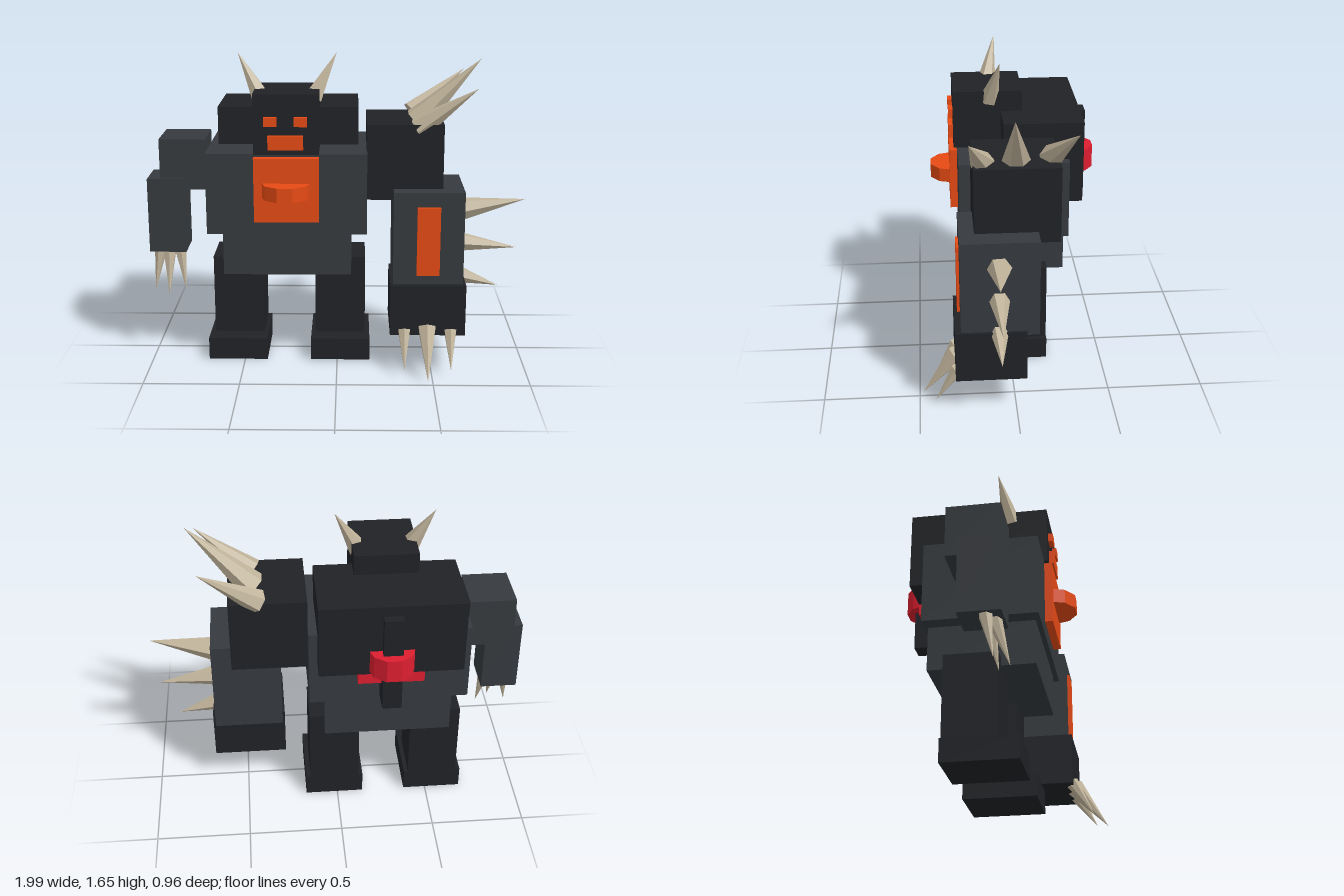
import * as THREE from 'three';

const material = (color) => new THREE.MeshStandardMaterial({ color, flatShading: true });

export function createModel() {
  const model = new THREE.Group();
  const black = material(0x202226);
  const grey = material(0x363a3e);
  const orange = material(0xe64a14);
  const red = material(0xdc1e30);
  const bone = material(0xc2b59c);
  const MID = -0.26; // centre line of the torso

  const add = (name, geometry, mat) => {
    const mesh = new THREE.Mesh(geometry, mat);
    mesh.name = name;
    model.add(mesh);
    return mesh;
  };

  // Box given by its extents on each axis
  const box = (name, mat, [x0, x1], [y0, y1], [z0, z1]) =>
    add(name, new THREE.BoxGeometry(x1 - x0, y1 - y0, z1 - z0), mat)
      .position.set((x0 + x1) / 2, (y0 + y1) / 2, (z0 + z1) / 2);

  // Six-sided spike running from its base centre to its tip
  const up = new THREE.Vector3(0, 1, 0);
  const spike = (name, base, tip, radius) => {
    const a = new THREE.Vector3(...base);
    const b = new THREE.Vector3(...tip);
    const mesh = add(name, new THREE.ConeGeometry(radius, a.distanceTo(b), 6), bone);
    mesh.position.copy(a).lerp(b, 0.5);
    mesh.quaternion.setFromUnitVectors(up, b.sub(a).normalize());
  };

  // Ten-sided upright drum with a flat facet towards the front and back
  const drum = (name, mat, radius, y0, y1, z) => {
    const mesh = add(name, new THREE.CylinderGeometry(radius, radius, y1 - y0, 10), mat);
    mesh.rotation.y = Math.PI / 10;
    mesh.position.set(MID, (y0 + y1) / 2, z);
  };

  // Torso
  box('pelvis', grey, [-0.595, 0.075], [0.51, 0.76], [-0.295, 0.24]);
  box('chest', grey, [-0.675, 0.155], [0.74, 1.165], [-0.312, 0.265]);
  box('upperBack', black, [-0.63, 0.11], [0.965, 1.365], [-0.388, 0.03]);
  box('chestPanel', orange, [-0.425, -0.092], [0.815, 1.15], [0.25, 0.305]);
  drum('chestKnob', orange, 0.128, 0.945, 1.02, 0.286);

  // Valve on the back
  box('backPost', black, [-0.31, -0.21], [0.775, 1.31], [-0.435, -0.3]);
  box('backPanel', red, [-0.43, -0.09], [0.905, 1.13], [-0.387, -0.3]);
  drum('backKnob', red, 0.12, 0.98, 1.105, -0.368);

  // Head and face
  box('head', black, [-0.425, -0.092], [1.165, 1.475], [-0.083, 0.282]);
  box('mouth', orange, [-0.35, -0.17], [1.193, 1.265], [0.27, 0.306]);

  // Mirrored eyes, horns, legs and feet
  for (const s of [-1, 1]) {
    const side = s < 0 ? 'right' : 'left';
    const span = (a, b) => (s < 0 ? [MID - b, MID - a] : [MID + a, MID + b]);
    box(side + 'Eye', orange, span(0.044, 0.11), [1.313, 1.36], [0.27, 0.306]);
    spike(side + 'Horn', [MID + s * 0.135, 1.425, 0.09], [MID + s * 0.257, 1.655, 0.04], 0.052);
    box(side + 'Leg', black, span(0.14, 0.41), [0.1, 0.552], [-0.2, 0.07]);
    box(side + 'Foot', black, span(0.118, 0.435), [0, 0.12], [-0.202, 0.175]);
  }

  // Small right arm
  box('rightUpperArm', grey, [-0.932, -0.69], [0.94, 1.21], [-0.145, 0.125]);
  box('rightForearm', grey, [-1, -0.805], [0.6, 1], [-0.07, 0.14]);
  spike('rightOuterClaw', [-0.953, 0.6, 0.06], [-0.985, 0.375, 0.1], 0.035);
  spike('rightMiddleClaw', [-0.902, 0.6, 0.09], [-0.9, 0.365, 0.165], 0.038);
  spike('rightInnerClaw', [-0.85, 0.6, 0.06], [-0.82, 0.375, 0.1], 0.035);

  // Massive left arm
  box('leftUpperArm', black, [0.153, 0.55], [0.91, 1.305], [-0.223, 0.205]);
  box('leftForearm', grey, [0.293, 0.66], [0.45, 0.968], [-0.113, 0.282]);
  box('leftFist', black, [0.28, 0.675], [0.2, 0.475], [-0.05, 0.312]);
  box('leftForearmPanel', orange, [0.415, 0.535], [0.525, 0.89], [0.26, 0.296]);

  // Shoulder spikes fan out front to back
  spike('shoulderSpikeRear', [0.4, 1.3, -0.185], [0.69, 1.525, -0.285], 0.064);
  spike('shoulderSpikeMiddle', [0.42, 1.285, -0.01], [0.748, 1.62, 0.02], 0.076);
  spike('shoulderSpikeFront', [0.42, 1.28, 0.15], [0.715, 1.497, 0.232], 0.064);

  // Spikes along the outside of the forearm
  spike('forearmSpikeUpper', [0.65, 0.83, 0.088], [0.993, 0.89, 0.105], 0.064);
  spike('forearmSpikeMiddle', [0.65, 0.65, 0.088], [0.96, 0.618, 0.088], 0.053);
  spike('forearmSpikeLower', [0.65, 0.465, 0.088], [0.865, 0.403, 0.088], 0.047);

  // Claws on the fist
  spike('leftInnerClaw', [0.355, 0.225, 0.3], [0.355, 0.042, 0.415], 0.036);
  spike('leftMiddleClaw', [0.475, 0.24, 0.3], [0.475, 0.008, 0.48], 0.052);
  spike('leftOuterClaw', [0.598, 0.225, 0.3], [0.598, 0.042, 0.415], 0.036);

  return model;
}
